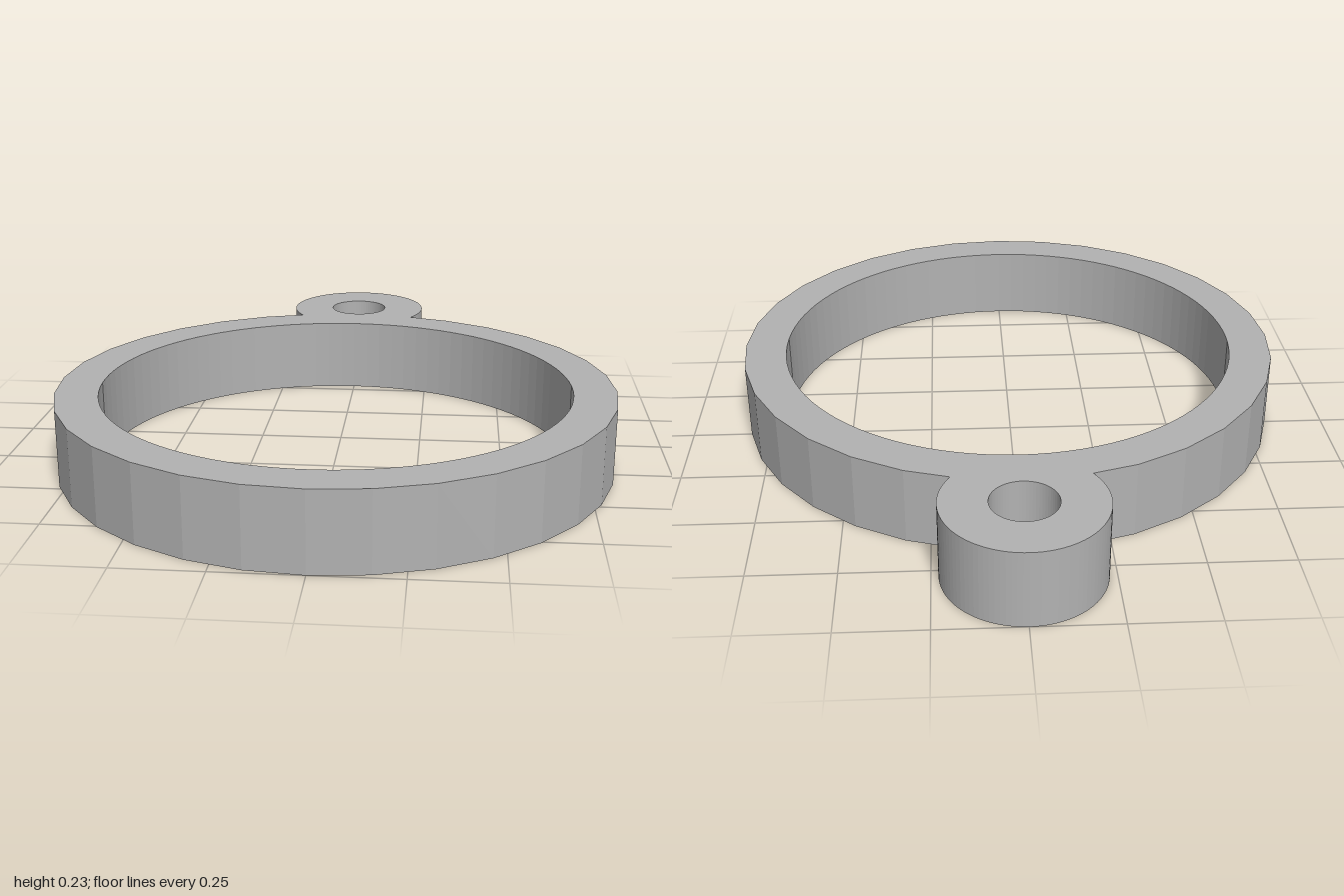
import * as THREE from 'three';

const HEIGHT = 0.23;
const RING = { y: -0.165, outer: 0.835, inner: 0.705, sides: 32 };
const LUG = { y: 0.77, outer: 0.23, inner: 0.095 };

// Points along a circular arc centred on x = 0, angles in degrees
function arc(cy, r, from, to, steps) {
  return Array.from({ length: steps + 1 }, (_, i) => {
    const a = THREE.MathUtils.degToRad(from + ((to - from) * i) / steps);
    return new THREE.Vector2(r * Math.cos(a), cy + r * Math.sin(a));
  });
}

const hole = (cy, r, steps) => new THREE.Path(arc(cy, r, 0, 360, steps).slice(0, -1));

export function createModel() {
  const grey = new THREE.MeshStandardMaterial({ color: 0xb2b2b2 });
  grey.name = 'grey';

  // Outline: faceted ring, then the round lug where it breaks through the rim
  const step = 360 / RING.sides;
  const shape = new THREE.Shape([
    ...arc(RING.y, RING.outer, 90 - 2 * step, -270 + 2 * step, RING.sides - 4),
    ...arc(LUG.y, LUG.outer, 213, -33, 66),
  ]);
  shape.holes.push(hole(RING.y, RING.inner, 100), hole(LUG.y, LUG.inner, 64));

  // Extrude upward and lay flat; the lug points to the back
  const geometry = new THREE.ExtrudeGeometry(shape, { depth: HEIGHT, bevelEnabled: false });
  geometry.rotateX(-Math.PI / 2);

  const ring = new THREE.Mesh(geometry, grey);
  ring.name = 'ringWithLug';
  const group = new THREE.Group();
  group.name = 'hangingRing';
  group.add(ring);
  return group;
}
